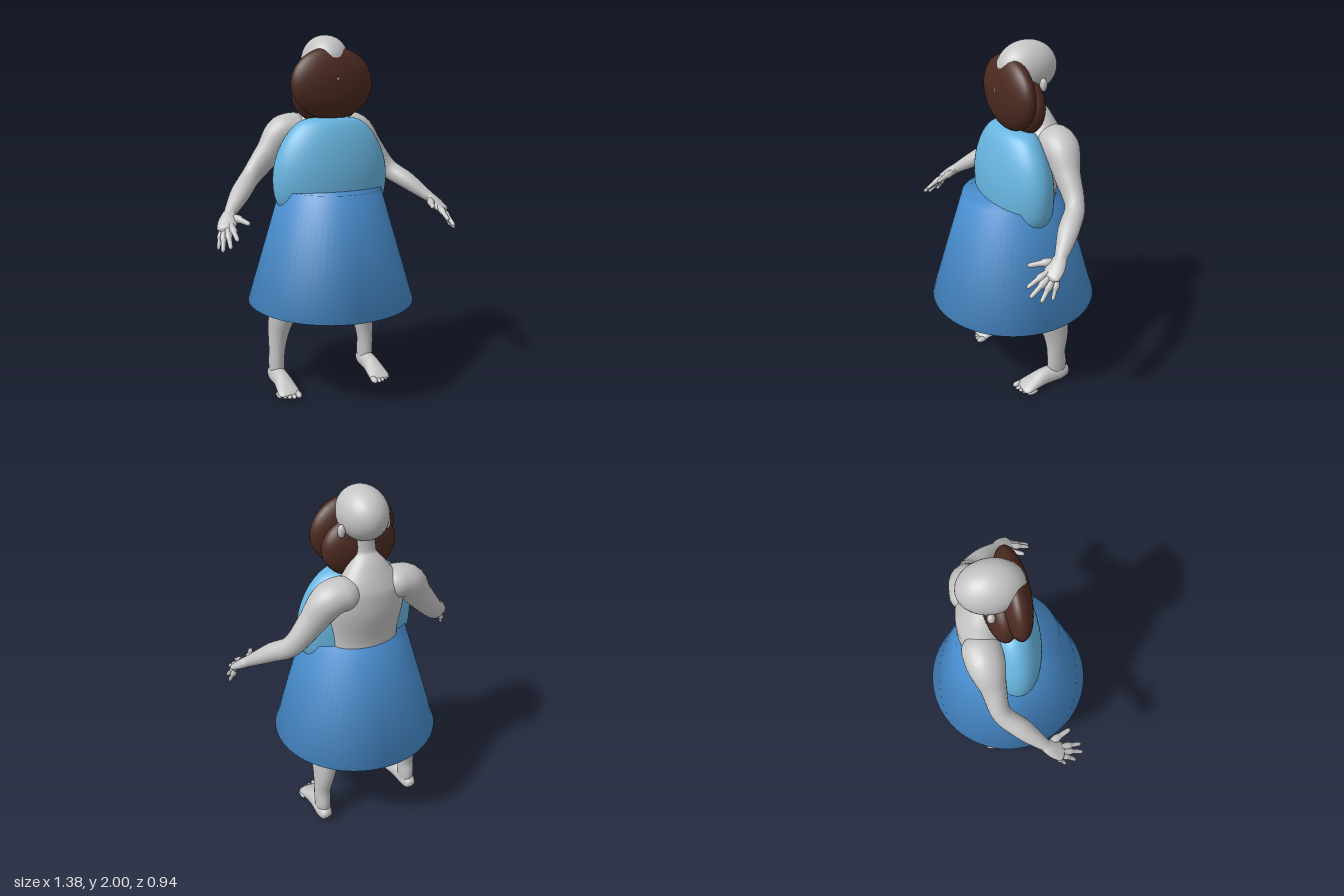
import * as THREE from 'three';
import { mergeVertices } from 'three/addons/utils/BufferGeometryUtils.js';

const paint = (name, color) => {
  const m = new THREE.MeshStandardMaterial({ color });
  m.name = name;
  return m;
};

// Smooth limb: rows of [x, y, z, half width, half depth], swept along their centres.
function loft(rows, ref, steps = 5, sides = 24) {
  const path = new THREE.CatmullRomCurve3(rows.map(r => new THREE.Vector3(r[0], r[1], r[2])));
  const size = new THREE.CatmullRomCurve3(rows.map(r => new THREE.Vector3(r[3], r[4], 0)));
  const n = (rows.length - 1) * steps;
  const pos = [], index = [];
  for (let i = 0; i <= n; i++) {
    const c = path.getPoint(i / n), r = size.getPoint(i / n);
    const t = path.getTangent(i / n);
    const side = new THREE.Vector3().crossVectors(t, ref).normalize();
    const up = new THREE.Vector3().crossVectors(side, t);
    for (let j = 0; j < sides; j++) {
      const a = (j / sides) * Math.PI * 2;
      const p = c.clone()
        .addScaledVector(side, Math.max(r.x, 0.0005) * Math.cos(a))
        .addScaledVector(up, Math.max(r.y, 0.0005) * Math.sin(a));
      pos.push(p.x, p.y, p.z);
      if (i < n) {
        const k = (j + 1) % sides, A = i * sides, B = A + sides;
        index.push(A + j, B + j, A + k, B + j, B + k, A + k);
      }
    }
  }
  const g = new THREE.BufferGeometry();
  g.setAttribute('position', new THREE.Float32BufferAttribute(pos, 3));
  g.setIndex(index);
  g.computeVertexNormals();
  return g;
}

const ellipsoid = (c, r, detail = 40) =>
  new THREE.SphereGeometry(1, detail, detail / 2).scale(...r).translate(...c);

export function createModel() {
  const model = new THREE.Group();
  const skin = paint('body grey', 0xc4c4c4);
  const skirtBlue = paint('skirt blue', 0x4a90d2);
  const topBlue = paint('bodice light blue', 0x68b5e0);
  const brown = paint('hair brown', 0x4c2a20);
  const Y = new THREE.Vector3(0, 1, 0), Z = new THREE.Vector3(0, 0, 1);

  const add = (name, geometry, material, parent = model) => {
    const mesh = new THREE.Mesh(geometry, material);
    mesh.name = name;
    parent.add(mesh);
  };

  // Torso and neck
  add('torso', loft([
    [0, 0.7, -0.11, 0.01, 0.01], [0, 0.78, -0.11, 0.16, 0.11],
    [0, 1.0, -0.11, 0.2, 0.13], [0, 1.2, -0.11, 0.19, 0.12],
    [0, 1.4, -0.13, 0.21, 0.135], [0, 1.5, -0.14, 0.2, 0.122],
    [0, 1.58, -0.13, 0.13, 0.09], [0, 1.66, -0.09, 0.07, 0.068],
    [0, 1.76, -0.08, 0.065, 0.065],
  ], Z, 6, 32), skin);

  // Head
  add('skull', ellipsoid([0, 1.865, -0.08], [0.125, 0.135, 0.163]), skin);
  add('jaw', ellipsoid([0, 1.76, -0.02], [0.09, 0.13, 0.09]), skin);
  add('nose', ellipsoid([0, 1.77, 0.07], [0.015, 0.02, 0.037], 16), skin);

  // Hair: a broad front mass and a lower mass behind it
  add('frontHair', ellipsoid([0, 1.745, 0.022], [0.235, 0.192, 0.083]), brown);
  add('lowerHair', ellipsoid([0, 1.685, -0.045], [0.205, 0.165, 0.088]), brown);

  // Bodice: turned profile flattened front to back
  const outline = new THREE.SplineCurve([
    [0.001, 0.98], [0.16, 1.0], [0.26, 1.05], [0.315, 1.12], [0.332, 1.22], [0.32, 1.33],
    [0.275, 1.44], [0.205, 1.525], [0.13, 1.56], [0.001, 1.567],
  ].map(p => new THREE.Vector2(...p)));
  add('bodice', new THREE.LatheGeometry(outline.getPoints(40), 56).scale(1, 1, 0.5), topBlue);

  // Skirt: closed cone with shared normals for a soft look
  const cone = new THREE.CylinderGeometry(0.28, 0.47, 0.635, 64).translate(0, 0.8625, 0);
  cone.deleteAttribute('normal');
  cone.deleteAttribute('uv');
  const skirt = mergeVertices(cone);
  skirt.computeVertexNormals();
  add('skirt', skirt, skirtBlue);

  // Each finger: base, tip, thickness
  const fingers = [
    ['thumb', [0.585, 1.08, 0.09], [0.53, 1.06, 0.22], 0.015],
    ['indexFinger', [0.61, 1.05, 0.15], [0.607, 0.99, 0.265], 0.013],
    ['middleFinger', [0.63, 1.035, 0.15], [0.645, 0.955, 0.27], 0.013],
    ['ringFinger', [0.645, 1.025, 0.14], [0.675, 0.93, 0.225], 0.013],
    ['littleFinger', [0.655, 1.02, 0.12], [0.685, 0.93, 0.165], 0.011],
  ];

  for (const s of [1, -1]) {
    const side = s > 0 ? 'left' : 'right';
    const flip = rows => rows.map(([x, ...rest]) => [x * s, ...rest]);
    const limb = (label, rows, ref, parent) =>
      add(side + label, loft(flip(rows), ref), skin, parent);

    add(side + 'Ear', ellipsoid([0.125 * s, 1.8, -0.105], [0.02, 0.035, 0.02], 16), skin);

    // Arm and hand
    const arm = new THREE.Group();
    arm.name = side + 'ArmAndHand';
    model.add(arm);
    limb('Arm', [
      [0.06, 1.5, -0.16, 0.04, 0.04], [0.14, 1.5, -0.165, 0.1, 0.085],
      [0.22, 1.48, -0.16, 0.098, 0.09], [0.31, 1.37, -0.145, 0.068, 0.075],
      [0.42, 1.245, -0.125, 0.052, 0.056], [0.5, 1.18, -0.04, 0.055, 0.05],
      [0.58, 1.105, 0.05, 0.036, 0.033], [0.6, 1.085, 0.075, 0.03, 0.028],
    ], Y, arm);
    limb('Palm', [
      [0.585, 1.105, 0.045, 0.02, 0.02], [0.6, 1.085, 0.075, 0.038, 0.028],
      [0.62, 1.055, 0.115, 0.05, 0.025], [0.638, 1.03, 0.15, 0.046, 0.018],
      [0.642, 1.022, 0.16, 0.02, 0.006],
    ], Y, arm);
    for (const [name, a, b, r] of fingers) {
      const at = k => a.map((v, i) => v + (b[i] - v) * k);
      const label = name[0].toUpperCase() + name.slice(1);
      limb(label, [
        [...at(0), r, r], [...at(0.5), r, r], [...at(0.9), r * 0.8, r * 0.8],
        [...at(1), 0.001, 0.001],
      ], Y, arm);
    }

    // Leg
    limb('Leg', [
      [0.285, 0.04, -0.14, 0.04, 0.05], [0.287, 0.12, -0.14, 0.045, 0.06],
      [0.285, 0.2, -0.135, 0.046, 0.056], [0.272, 0.32, -0.138, 0.06, 0.074],
      [0.255, 0.42, -0.125, 0.077, 0.092], [0.23, 0.52, -0.105, 0.1, 0.106],
      [0.18, 0.66, -0.1, 0.115, 0.115], [0.12, 0.85, -0.11, 0.11, 0.11],
    ], Z, model);

    // Foot and toes
    limb('Foot', [
      [0.29, 0.04, -0.217, 0.003, 0.003], [0.29, 0.045, -0.205, 0.032, 0.034],
      [0.29, 0.055, -0.15, 0.047, 0.054], [0.287, 0.056, -0.06, 0.048, 0.054],
      [0.285, 0.041, 0.02, 0.058, 0.036], [0.285, 0.027, 0.075, 0.062, 0.023],
      [0.285, 0.022, 0.1, 0.045, 0.01], [0.285, 0.022, 0.104, 0.002, 0.002],
    ], Y, model);
    for (let i = 0; i < 5; i++) {
      const r = i ? 0.0135 : 0.018;
      const x = i ? 0.242 + i * 0.0245 : 0.238;
      add(side + 'Toe' + (i + 1),
        ellipsoid([x * s, r + 0.003, 0.096 - i * i * 0.0025], [r, r, 0.036], 16), skin);
    }
  }
  return model;
}
